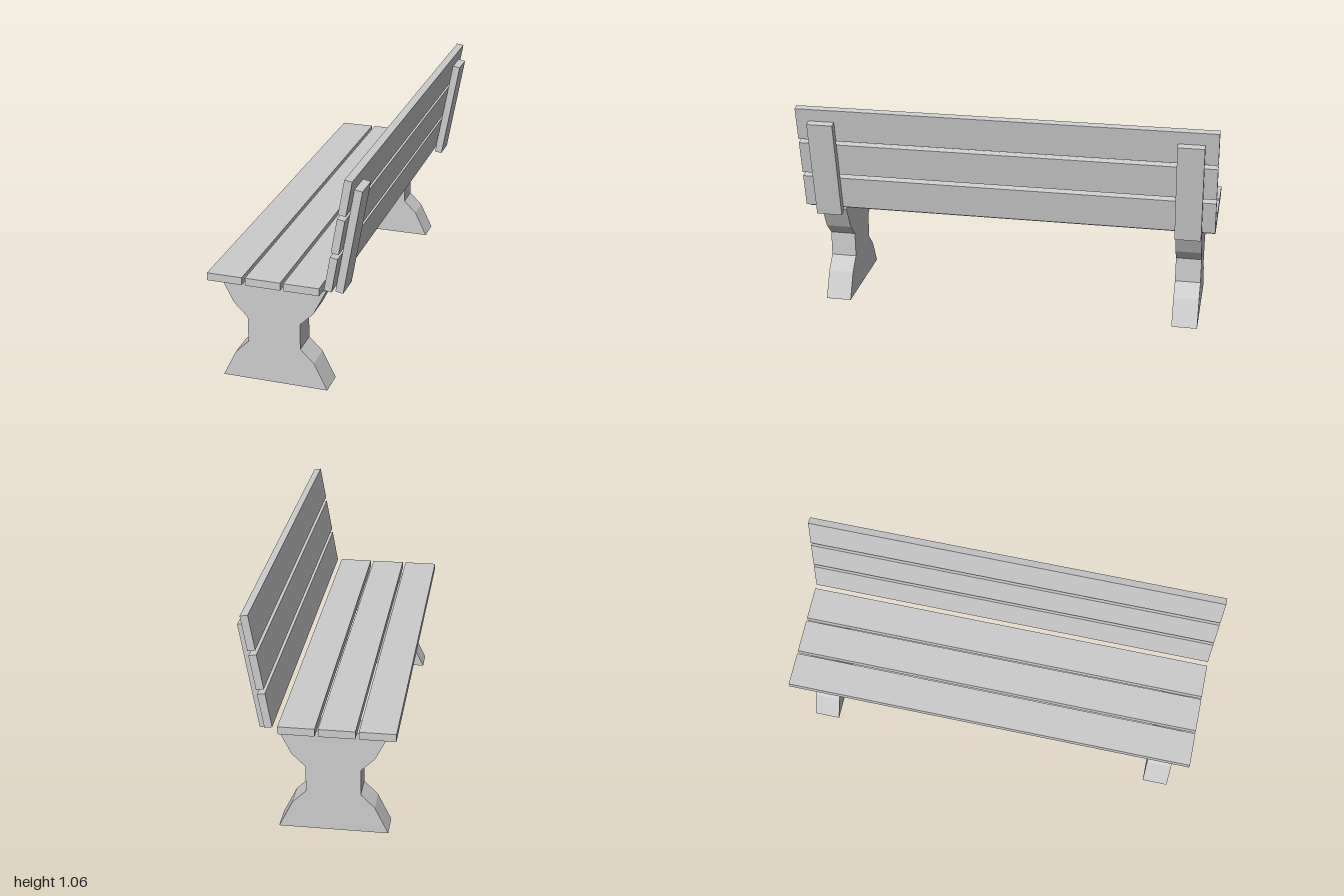
import * as THREE from 'three';

export function createModel() {
  const bench = new THREE.Group();
  bench.name = 'bench';
  const material = new THREE.MeshStandardMaterial({ color: 0xcccccc, flatShading: true });

  const add = (name, geometry, x, y, z, tilt = 0) => {
    const mesh = new THREE.Mesh(geometry, material);
    mesh.name = name;
    mesh.position.set(x, y, z);
    mesh.rotation.z = tilt;
    bench.add(mesh);
  };

  const length = 2;
  const lean = -THREE.MathUtils.degToRad(10);

  // Seat: three flat planks
  const seatPlank = new THREE.BoxGeometry(0.164, 0.036, length);
  for (let i = 0; i < 3; i++) add('seatPlank', seatPlank, -0.269 + i * 0.179, 0.522, 0);

  // Backrest: three planks stacked along the lean
  const backPlank = new THREE.BoxGeometry(0.035, 0.164, length);
  for (let i = -1; i <= 1; i++) {
    add('backPlank', backPlank, 0.257 + i * 0.0325, 0.797 + i * 0.1825, 0, lean);
  }

  // Leg outline: one half from floor to top, mirrored about its own centre line
  const half = [[0.249, 0], [0.187, 0.127], [0.124, 0.19], [0.124, 0.314], [0.187, 0.377], [0.249, 0.5]];
  const outline = [...half, ...half.map(([x, y]) => [-x, y]).reverse()];
  const legShape = new THREE.Shape(outline.map(([x, y]) => new THREE.Vector2(x, y)));
  const thickness = 0.125;
  const leg = new THREE.ExtrudeGeometry(legShape, { depth: thickness, bevelEnabled: false });
  leg.translate(0, 0, -thickness / 2);

  // Legs and leaning back posts at both ends
  const post = new THREE.BoxGeometry(0.036, 0.499, thickness);
  for (const side of [-1, 1]) {
    add('leg', leg, -0.065, 0, side * 0.875);
    add('backPost', post, 0.286, 0.748, side * 0.875, lean);
  }

  return bench;
}
